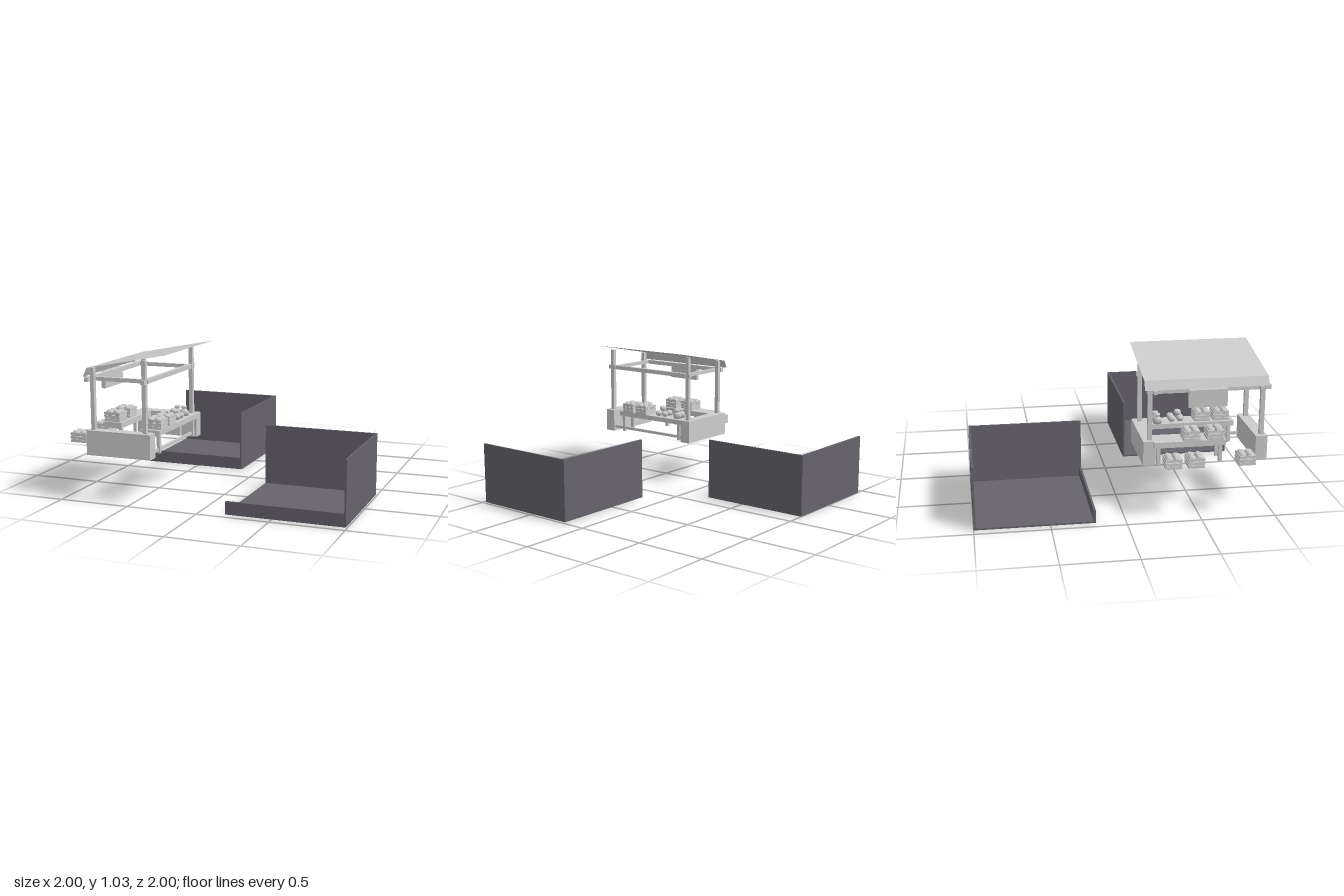
import * as THREE from 'three';

const light = new THREE.MeshStandardMaterial({ color: 0xcccccc, side: THREE.DoubleSide });
light.name = 'pale grey';
const dark = new THREE.MeshStandardMaterial({ color: 0x66636b });
dark.name = 'dark slate';

// Box given by its min and max corners
function box(parent, name, x0, x1, y0, y1, z0, z1, mat = light) {
  const m = new THREE.Mesh(new THREE.BoxGeometry(x1 - x0, y1 - y0, z1 - z0), mat);
  m.position.set((x0 + x1) / 2, (y0 + y1) / 2, (z0 + z1) / 2);
  m.name = name;
  parent.add(m);
  return m;
}

function lathe(parent, name, points, x, y, z, sides = 12) {
  const geo = new THREE.LatheGeometry(points.map(p => new THREE.Vector2(p[0], p[1])), sides);
  const m = new THREE.Mesh(geo, light);
  m.position.set(x, y, z);
  m.name = name;
  parent.add(m);
  return m;
}

const FRUIT = [[0, 0], [0.016, 0.004], [0.025, 0.018], [0.026, 0.03], [0.018, 0.042], [0.008, 0.044], [0, 0.038]];
const JAR = [[0, 0], [0.03, 0], [0.032, 0.03], [0.024, 0.042], [0.016, 0.046], [0.016, 0.056], [0.021, 0.057], [0.021, 0.068], [0, 0.068]];

// Low tray: floor, two tall walls and a front lip, open on the right
function tray(x0, y0, z0) {
  const g = new THREE.Group();
  g.name = 'tray';
  const x1 = x0 + 0.805, z1 = z0 + 0.8, top = y0 + 0.435;
  box(g, 'trayFloor', x0, x1, y0, y0 + 0.012, z0, z1, dark);
  box(g, 'trayBackWall', x0, x1, y0, top, z0, z0 + 0.014, dark);
  box(g, 'traySideWall', x1 - 0.012, x1, y0, top, z0, z1, dark);
  box(g, 'trayFrontLip', x0, x1, y0, y0 + 0.088, z1 - 0.014, z1, dark);
  return g;
}

// Slatted crate holding four fruits
function crate(x, y, z) {
  const g = new THREE.Group();
  g.name = 'fruitCrate';
  const w = 0.06, d = 0.055;
  box(g, 'crateBottom', -w, w, 0, 0.008, -d, d);
  box(g, 'cratePacking', -w + 0.01, w - 0.01, 0.008, 0.04, -d + 0.01, d - 0.01);
  for (const s of [-1, 1]) {
    for (const y0 of [0, 0.024, 0.048]) {
      box(g, 'crateSlat', -w, w, y0, y0 + 0.018, s * (d - 0.003) - 0.003, s * (d - 0.003) + 0.003);
      box(g, 'crateSlat', s * (w - 0.003) - 0.003, s * (w - 0.003) + 0.003, y0, y0 + 0.018, -d, d);
    }
    for (const t of [-1, 1]) {
      const px = s * (w - 0.011), pz = t * (d - 0.011);
      box(g, 'cratePost', px - 0.006, px + 0.006, 0, 0.066, pz - 0.006, pz + 0.006);
      lathe(g, 'fruit', FRUIT, s * 0.028, 0.036, t * 0.026);
    }
  }
  g.position.set(x, y, z);
  return g;
}

// Table with a slab top and four legs
function table(name, x0, x1, z0, z1, y0, yTop, thick) {
  const g = new THREE.Group();
  g.name = name;
  box(g, 'tableTop', x0, x1, yTop - thick, yTop, z0, z1);
  for (const x of [x0 + 0.008, x1 - 0.03])
    for (const z of [z0 + 0.02, z1 - 0.045])
      box(g, 'tableLeg', x, x + 0.022, y0, yTop - thick, z, z + 0.025);
  return g;
}

// Thin canvas awning swept along z from a short cross-section
function awning() {
  const section = [[-0.82, 0.86], [-0.79, 0.92], [-0.22, 1.03]];
  const pos = [], idx = [];
  for (let i = 0; i < section.length - 1; i++) {
    const [a, b] = [section[i], section[i + 1]], n = i * 4;
    pos.push(a[0], a[1], 0.14, a[0], a[1], 0.975, b[0], b[1], 0.975, b[0], b[1], 0.14);
    idx.push(n, n + 1, n + 2, n, n + 2, n + 3);
  }
  const geo = new THREE.BufferGeometry();
  geo.setAttribute('position', new THREE.Float32BufferAttribute(pos, 3));
  geo.setIndex(idx);
  geo.computeVertexNormals();
  const m = new THREE.Mesh(geo, light);
  m.name = 'awning';
  return m;
}

function stall() {
  const g = new THREE.Group();
  g.name = 'marketStall';

  // End walls and posts
  box(g, 'endWallFront', -0.8, -0.33, 0.33, 0.5, 0.905, 0.985);
  box(g, 'endWallBack', -0.8, -0.33, 0.33, 0.5, 0.137, 0.217);
  for (const z of [0.95, 0.185]) {
    box(g, 'frontPost', -0.772, -0.745, 0.5, 0.922, z - 0.015, z + 0.015);
    box(g, 'rearPost', -0.393, -0.365, 0.5, 0.985, z - 0.015, z + 0.015);
  }

  // Roof beams
  box(g, 'longBeam', -0.8, -0.772, 0.83, 0.86, 0.16, 0.995);
  box(g, 'longBeam', -0.393, -0.365, 0.83, 0.86, 0.16, 0.985);
  for (const z of [0.925, 0.21])
    box(g, 'crossBeam', -0.83, -0.36, 0.832, 0.858, z - 0.012, z + 0.012);
  g.add(awning());

  // Hanging board
  box(g, 'hangingBoard', -0.835, -0.805, 0.735, 0.855, 0.43, 0.69);

  // Counter and front table
  g.add(table('counter', -0.47, -0.33, 0.217, 0.84, 0.34, 0.5, 0.035));
  box(g, 'counterRail', -0.36, -0.345, 0.355, 0.375, 0.217, 0.905);
  g.add(table('frontTable', -0.83, -0.69, 0.205, 0.69, 0.34, 0.5, 0.04));

  // Crates on the tables and before the stall
  for (const [x, y, z] of [
    [-0.39, 0.5, 0.755], [-0.39, 0.5, 0.62],
    [-0.77, 0.5, 0.62], [-0.77, 0.5, 0.46],
    [-0.94, 0.375, 0.305], [-0.94, 0.375, 0.455], [-0.94, 0.375, 0.795],
  ]) g.add(crate(x, y, z));

  // Jars and loose fruit
  lathe(g, 'jar', JAR, -0.39, 0.5, 0.295);
  lathe(g, 'jar', JAR, -0.44, 0.5, 0.3);
  for (const [x, y, z] of [
    [-0.37, 0.5, 0.405], [-0.37, 0.5, 0.465], [-0.425, 0.5, 0.405],
    [-0.425, 0.5, 0.465], [-0.4, 0.535, 0.45],
  ]) lathe(g, 'looseFruit', FRUIT, x, y, z);
  return g;
}

export function createModel() {
  const model = new THREE.Group();
  model.name = 'marketSet';
  model.add(tray(-0.942, 0.004, -1), tray(0.19, 0.012, 0.165), stall());
  return model;
}
